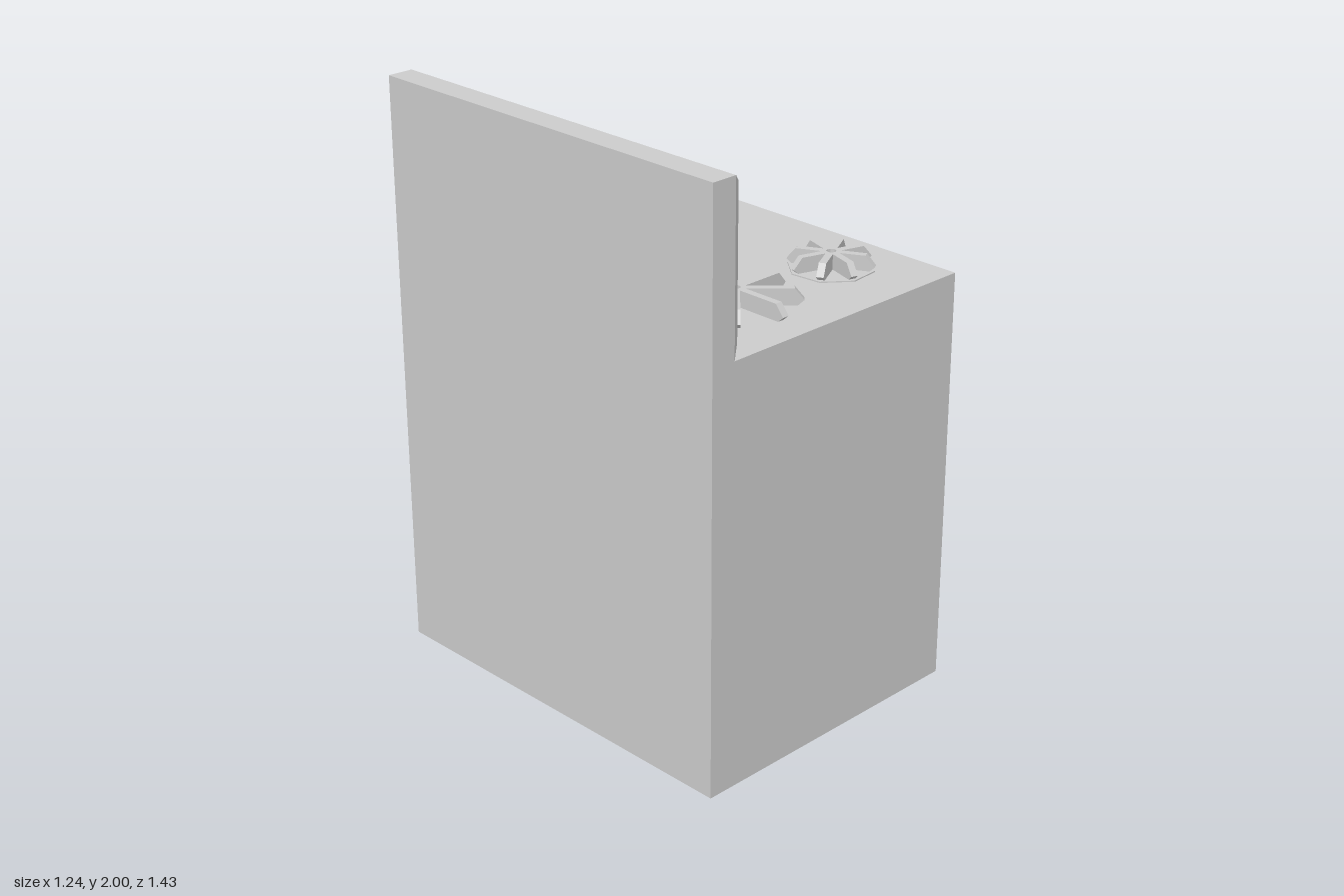
import * as THREE from 'three';

const grey = new THREE.MeshStandardMaterial({ color: 0xcccccc, flatShading: true });

function addMesh(parent, name, geometry) {
  const mesh = new THREE.Mesh(geometry, grey);
  mesh.name = name;
  parent.add(mesh);
  return mesh;
}

// Rectangular block growing along +x; each ring is [x, inset from the outline]
function steppedBlock(y0, y1, halfZ, rings) {
  const pos = [], idx = [];
  for (const [x, i] of rings) {
    pos.push(x, y0 + i, halfZ - i, x, y0 + i, -halfZ + i, x, y1 - i, -halfZ + i, x, y1 - i, halfZ - i);
  }
  for (let r = 0; r < rings.length - 1; r++) {
    for (let k = 0; k < 4; k++) {
      const a = r * 4 + k, b = r * 4 + (k + 1) % 4;
      idx.push(a, b, b + 4, a, b + 4, a + 4);
    }
  }
  const e = (rings.length - 1) * 4;
  idx.push(0, 2, 1, 0, 3, 2, e, e + 1, e + 2, e, e + 2, e + 3);
  const g = new THREE.BufferGeometry();
  g.setAttribute('position', new THREE.Float32BufferAttribute(pos, 3));
  g.setIndex(idx);
  const flat = g.toNonIndexed();
  flat.computeVertexNormals();
  return flat;
}

// Flat outline extruded and centred on its depth
function plate(points, depth) {
  const shape = new THREE.Shape(points.map(([x, y]) => new THREE.Vector2(x, y)));
  return new THREE.ExtrudeGeometry(shape, { depth, bevelEnabled: false }).translate(0, 0, -depth / 2);
}

// Eight-armed burner grate
function burner(name, x, z, radius, turn, hasPlate) {
  const g = new THREE.Group();
  g.name = name;
  g.position.set(x, 1.44, z);
  g.rotation.y = THREE.MathUtils.degToRad(turn);
  const arm = plate([[0.015, 0], [radius - 0.02, 0], [radius, 0.018], [radius - 0.03, 0.055], [0.015, 0.055]], 0.024);
  for (let k = 0; k < 8; k++) addMesh(g, 'grateArm', arm).rotation.y = k * Math.PI / 4;
  if (hasPlate) {
    const disc = new THREE.CylinderGeometry(radius, radius, 0.004, 8).rotateY(Math.PI / 2);
    addMesh(g, 'burnerPlate', disc).position.y = 0.002;
  }
  return g;
}

// Octagonal control knob with a tapered pointer
function knob(z, turn) {
  const g = new THREE.Group();
  g.name = 'knob';
  g.position.set(0.5, 1.27, z);
  g.rotation.x = THREE.MathUtils.degToRad(turn);
  const profile = [[0.04, 0], [0.04, 0.018], [0.07, 0.018], [0.077, 0.024], [0.077, 0.046], [0.066, 0.055], [0, 0.055]];
  const dial = new THREE.LatheGeometry(profile.map(([r, h]) => new THREE.Vector2(r, h)), 8).rotateZ(-Math.PI / 2);
  addMesh(g, 'knobDial', dial);
  const pointer = plate([[-0.014, -0.035], [0.014, -0.035], [0.008, 0.037], [-0.008, 0.037]], 0.026).rotateY(Math.PI / 2);
  addMesh(g, 'knobPointer', pointer).position.x = 0.063;
  return g;
}

export function createModel() {
  const stove = new THREE.Group();
  stove.name = 'stove';

  // Cabinet and backsplash, both chamfered around the front face
  addMesh(stove, 'cabinet', steppedBlock(0, 1.44, 0.715, [[-0.62, 0], [0.455, 0], [0.5, 0.036]]));
  addMesh(stove, 'backsplash', steppedBlock(1.44, 2, 0.715, [[-0.62, 0], [-0.53, 0], [-0.485, 0.034]]));

  // Oven door with a recessed panel, and the drawer below
  addMesh(stove, 'ovenDoor', steppedBlock(0.42, 1.12, 0.64,
    [[0.495, 0], [0.538, 0], [0.549, 0.025], [0.549, 0.043], [0.535, 0.054]]));
  addMesh(stove, 'drawer', steppedBlock(0.055, 0.375, 0.64, [[0.495, 0], [0.535, 0], [0.546, 0.025]]));

  // Bowed door handle: outline drawn as (x, z), extruded upward
  const outer = [[0.545, -0.405], [0.578, -0.31], [0.618, -0.17]];
  const inner = [[0.545, -0.375], [0.564, -0.31], [0.602, -0.165]];
  const mirror = (pts) => pts.map(([x, z]) => [x, -z]).reverse();
  const outline = [...outer, ...mirror(outer), ...inner.map(([x, z]) => [x, -z]), ...[...inner].reverse()];
  addMesh(stove, 'doorHandle', plate(outline, 0.055).rotateX(Math.PI / 2)).position.y = 0.928;

  // Control knobs
  [[0.5, 0], [0.23, 55], [-0.25, -45], [-0.515, -90]].forEach(([z, turn]) => stove.add(knob(z, turn)));

  // Burners
  stove.add(
    burner('smallBackBurner', -0.24, -0.375, 0.142, 22.5, true),
    burner('largeFrontBurner', 0.183, -0.375, 0.208, 0, false),
    burner('largeBackBurner', -0.217, 0.413, 0.208, 0, false),
    burner('smallFrontBurner', 0.215, 0.41, 0.142, 28, true),
  );
  return stove;
}
